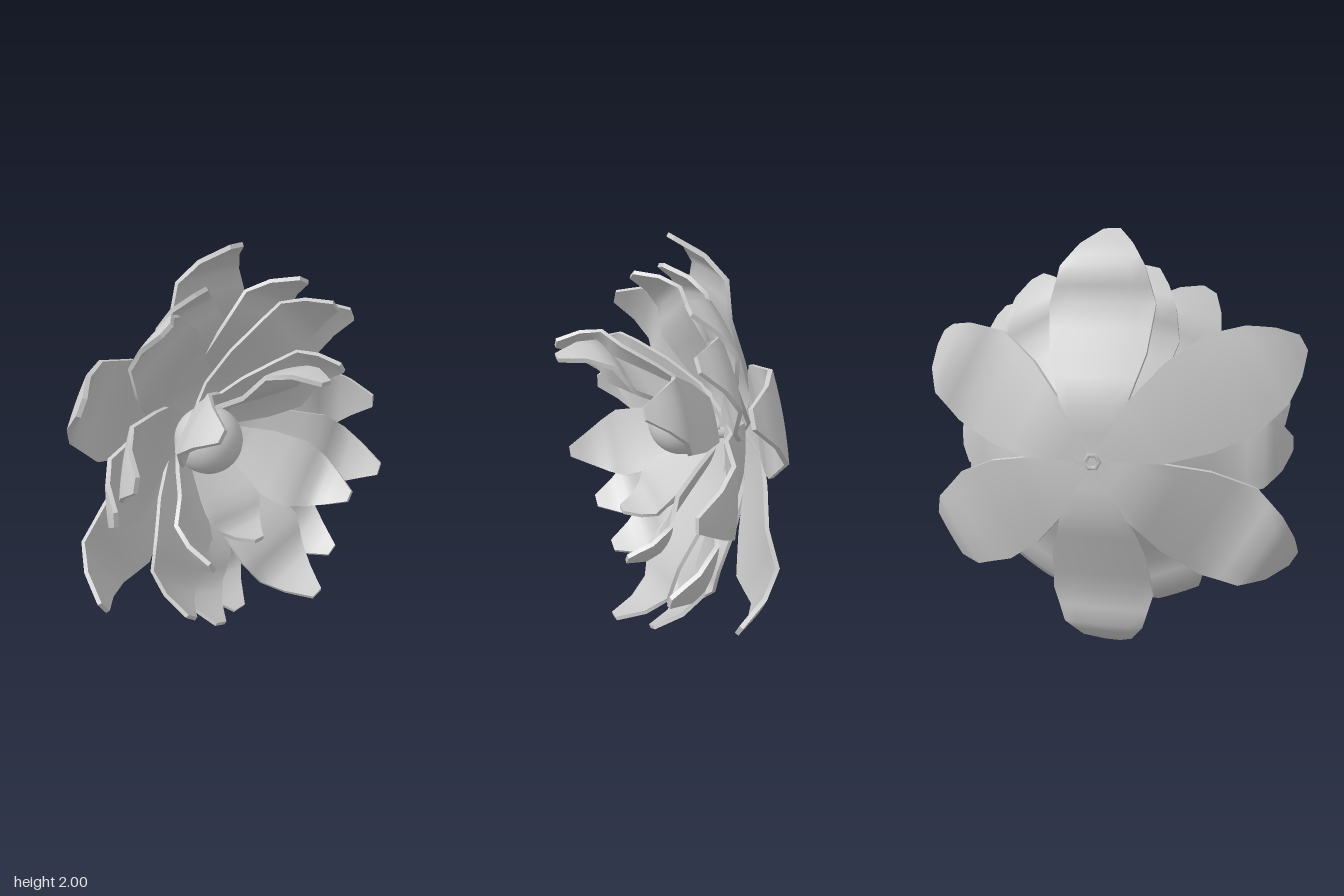
import * as THREE from 'three';

const petalGrey = new THREE.MeshStandardMaterial({ color: 0xcccccc });
petalGrey.name = 'petalGrey';

// Petal profile: [distance along, height, fraction of half width]
const PROFILE = [[0, 0, 0.3], [0.25, 0, 0.62], [0.46, 0.085, 0.9], [0.67, 0.168, 1], [0.835, 0.17, 0.79], [0.93, 0.25, 0.5], [1, 0.37, 0.16]];
const LAST = PROFILE.length - 1;
const THICKNESS = 0.02;
const CUP = 0.012;

// Point on the profile for v from 0 (base) to 1 (tip)
function sample(v) {
  const f = THREE.MathUtils.clamp(v, 0, 1) * LAST;
  const i = Math.min(Math.floor(f), LAST - 1);
  return PROFILE[i].map((a, k) => THREE.MathUtils.lerp(a, PROFILE[i + 1][k], f - i));
}

// Thin closed petal bent from a box; the profile is tilted and scaled to reach the tip
function petal([cx, cy, cz], tip, halfWidth) {
  const dx = tip[0] - cx, dy = tip[1] - cy, rise = tip[2] - cz;
  const length = Math.hypot(dx, dy);
  const ux = dx / length, uy = dy / length;
  const scale = Math.hypot(length, rise) / Math.hypot(1, 0.37);
  const tilt = Math.atan2(rise, length) - Math.atan2(0.37, 1);
  const cos = Math.cos(tilt), sin = Math.sin(tilt);

  const geo = new THREE.BoxGeometry(2, 1, THICKNESS, 6, LAST * 2, 1);
  const pos = geo.attributes.position;
  for (let i = 0; i < pos.count; i++) {
    const u = pos.getX(i), v = pos.getY(i) + 0.5, offset = pos.getZ(i);
    const [s, h, w] = sample(v);
    const a = sample(v - 0.04), b = sample(v + 0.04);
    const ds = b[0] - a[0], dh = b[1] - a[1], d = Math.hypot(ds, dh);
    const along = s * scale - offset * dh / d;
    const up = h * scale + offset * ds / d + CUP * u * u * Math.sin(Math.PI * v);
    const radial = along * cos - up * sin;
    pos.setXYZ(i,
      cx + ux * radial + uy * u * w * halfWidth,
      cy + uy * radial - ux * u * w * halfWidth,
      cz + along * sin + up * cos);
  }
  geo.computeVertexNormals();
  return geo;
}

// Regular ring of outer tips
const outerTips = Array.from({ length: 6 }, (_, k) => {
  const a = Math.PI / 2 + k * Math.PI / 3;
  return [0.99 * Math.cos(a), 1 + 0.99 * Math.sin(a), -0.075];
});

// Four stacked layers; the inner ones lean and open unevenly
const LAYERS = [
  { name: 'outer', center: [0, 1, -0.445], halfWidth: 0.24, hub: 0.2, tips: outerTips },
  {
    name: 'second', center: [0, 1, -0.42], halfWidth: 0.215, hub: 0.1,
    tips: [[0.83, 1.06, 0.12], [0.38, 1.78, -0.01], [-0.44, 1.72, -0.04],
      [-0.83, 1.02, 0.05], [-0.33, 0.22, 0.13], [0.47, 0.29, 0.18]],
  },
  {
    name: 'third', center: [-0.01, 1.01, -0.38], halfWidth: 0.215, hub: 0.08,
    tips: [[0.58, 1.62, 0.03], [-0.19, 1.82, -0.1], [-0.8, 1.22, 0.17],
      [-0.54, 0.4, 0.16], [0.22, 0.19, 0.29], [0.8, 0.69, 0.22]],
  },
  {
    name: 'inner', center: [-0.05, 1.02, -0.34], halfWidth: 0.18, hub: 0.06,
    tips: [[0.44, 1.38, 0.2], [0, 1.5, 0.455], [-0.5, 1.39, 0.35],
      [-0.53, 0.75, 0.3], [-0.08, 0.61, 0.15], [0.45, 0.69, 0.29]],
  },
];

export function createModel() {
  const flower = new THREE.Group();
  flower.name = 'flower';
  const add = (parent, geometry, name, position = [0, 0, 0]) => {
    const mesh = new THREE.Mesh(geometry, petalGrey);
    mesh.name = name;
    mesh.position.set(...position);
    parent.add(mesh);
  };

  for (const layer of LAYERS) {
    const group = new THREE.Group();
    group.name = layer.name + 'Petals';
    layer.tips.forEach((tip, k) => {
      add(group, petal(layer.center, tip, layer.halfWidth), layer.name + 'Petal' + (k + 1));
    });
    // Disc joining the petal bases
    const disc = new THREE.CylinderGeometry(layer.hub, layer.hub, 0.012, 12).rotateX(Math.PI / 2);
    add(group, disc, layer.name + 'Hub', layer.center);
    flower.add(group);
  }

  // Round flower centre
  add(flower, new THREE.SphereGeometry(0.168, 32, 24), 'centreBall', [-0.1, 1.05, -0.18]);

  // Core holding the layers together, and the small hexagonal socket behind
  add(flower, new THREE.CylinderGeometry(0.03, 0.03, 0.13, 6).rotateX(Math.PI / 2), 'core', [0, 1, -0.375]);
  add(flower, new THREE.TorusGeometry(0.032, 0.01, 4, 6), 'backSocket', [0, 1, -0.455]);

  return flower;
}
